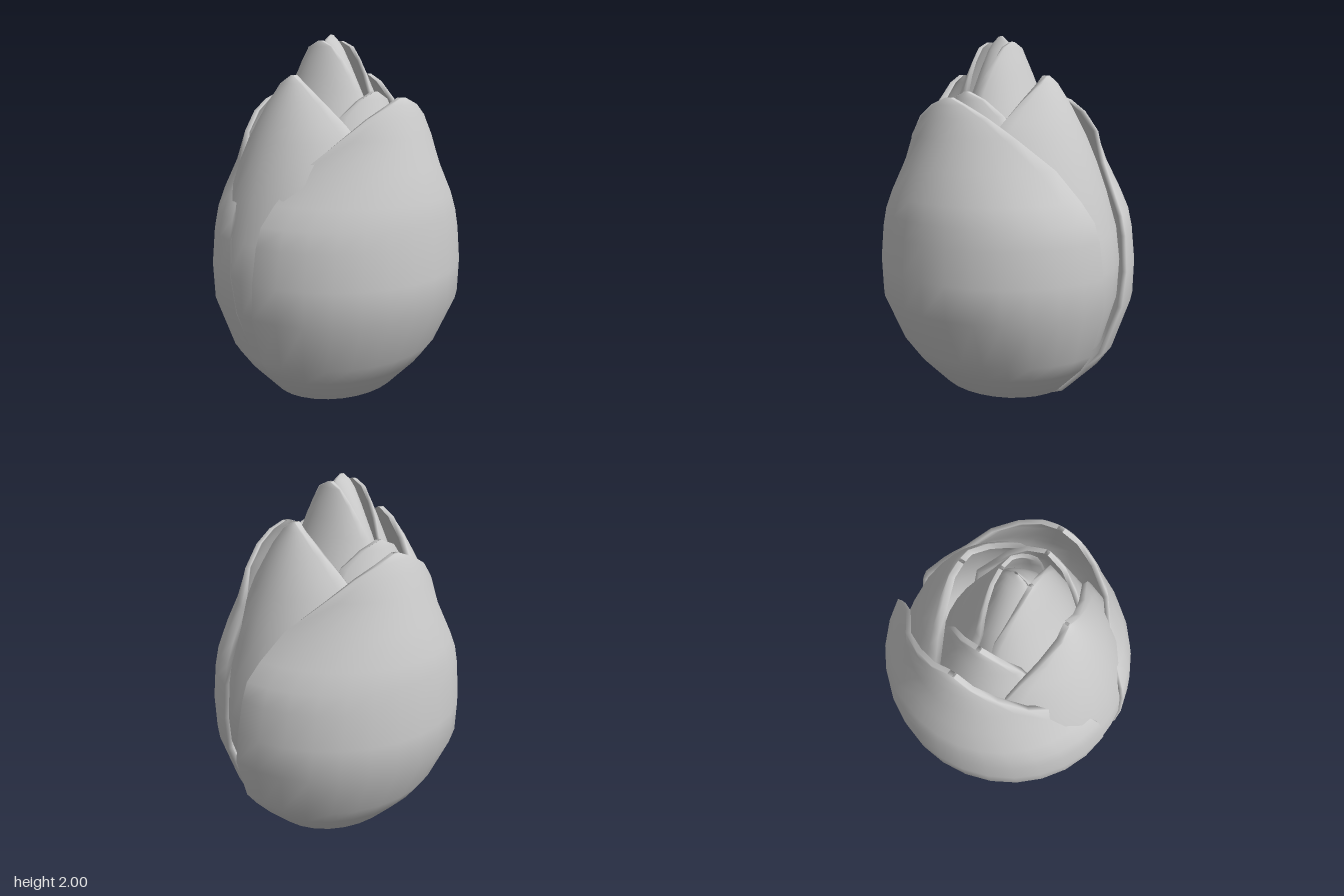
import * as THREE from 'three';

// Rows: [height, depth from the axis, sideways radius, half angle in degrees]
const OUTER = [
  [0.005, 0.07, 0.05, 85], [0.035, 0.16, 0.19, 85], [0.12, 0.33, 0.38, 85], [0.28, 0.48, 0.535, 85],
  [0.38, 0.55, 0.605, 84], [0.64, 0.67, 0.685, 83], [0.82, 0.675, 0.69, 82], [1.0, 0.662, 0.67, 81],
  [1.1, 0.65, 0.645, 80], [1.2, 0.635, 0.59, 77], [1.35, 0.585, 0.505, 69], [1.5, 0.535, 0.46, 49],
  [1.6, 0.50, 0.41, 33], [1.66, 0.475, 0.38, 17], [1.695, 0.455, 0.36, 3],
];
const SIDE = [
  [0.03, 0.13, 0.10, 60], [0.12, 0.36, 0.28, 60], [0.28, 0.51, 0.42, 62], [0.38, 0.58, 0.50, 64],
  [0.64, 0.655, 0.58, 66], [0.82, 0.66, 0.60, 68], [1.0, 0.635, 0.585, 70], [1.2, 0.575, 0.53, 72],
  [1.35, 0.525, 0.465, 70], [1.48, 0.47, 0.41, 65], [1.57, 0.43, 0.35, 58], [1.67, 0.38, 0.28, 45],
  [1.76, 0.325, 0.21, 23], [1.8, 0.295, 0.18, 3],
];
const INNER = [
  [0.1, 0.12, 0.12, 60], [0.4, 0.44, 0.42, 62], [0.8, 0.56, 0.5, 64], [1.2, 0.5, 0.44, 62],
  [1.5, 0.385, 0.31, 55], [1.6, 0.345, 0.28, 46], [1.68, 0.315, 0.25, 26], [1.72, 0.3, 0.23, 3],
];
const HEART = [
  [0.15, 0.1, 0.1, 80], [0.5, 0.36, 0.36, 80], [0.9, 0.44, 0.44, 80], [1.3, 0.36, 0.4, 80],
  [1.55, 0.255, 0.31, 80], [1.72, 0.185, 0.245, 79], [1.8, 0.155, 0.21, 70], [1.87, 0.127, 0.176, 58],
  [1.94, 0.098, 0.15, 34], [1.97, 0.085, 0.14, 4],
];
const CORE = [
  [1.2, 0.3, 0.28, 85], [1.5, 0.26, 0.2, 85], [1.7, 0.18, 0.14, 85], [1.85, 0.1, 0.1, 85],
  [1.93, 0.05, 0.075, 85], [1.97, 0.02, 0.05, 85], [2.0, 0.006, 0.012, 85],
];

// Curved petal shell with an outer and an inner skin, facing +z
function petalGeometry(rows, thickness, segments = 14) {
  const pos = [], index = [], ring = 2 * (segments + 1);
  for (const [y, depth, wide, degrees] of rows) {
    const half = THREE.MathUtils.degToRad(degrees);
    const lift = thickness * Math.max(0, 1 - y / 0.4);
    for (let i = 0; i < ring; i++) {
      const inner = i > segments;
      const k = inner ? ring - 1 - i : i;
      const a = half * (2 * k / segments - 1);
      const t = inner ? thickness : 0;
      pos.push(
        Math.max(wide - t, wide * 0.5) * Math.sin(a),
        y + (inner ? lift : 0),
        Math.max(depth - t, depth * 0.5) * Math.cos(a));
    }
  }
  for (let j = 0; j < rows.length - 1; j++) {
    for (let i = 0; i < ring; i++) {
      const n = (i + 1) % ring, a = j * ring, b = a + ring;
      index.push(a + i, a + n, b + n, a + i, b + n, b + i);
    }
  }
  // Close the base and the tip between the two skins
  const top = (rows.length - 1) * ring;
  for (let i = 0; i < segments; i++) {
    const o = ring - 1 - i;
    index.push(i, o, o - 1, i, o - 1, i + 1);
    index.push(top + i, top + i + 1, top + o - 1, top + i, top + o - 1, top + o);
  }
  const geometry = new THREE.BufferGeometry();
  geometry.setAttribute('position', new THREE.Float32BufferAttribute(pos, 3));
  geometry.setIndex(index);
  geometry.computeVertexNormals();
  return geometry;
}

export function createModel() {
  const bud = new THREE.Group();
  bud.name = 'flowerBud';
  const material = new THREE.MeshStandardMaterial({ color: 0xcccccc, side: THREE.DoubleSide });

  const addPetal = (name, rows, thickness, turn, x) => {
    const petal = new THREE.Mesh(petalGeometry(rows, thickness), material);
    petal.name = name;
    petal.rotation.y = turn;
    petal.position.x = x;
    bud.add(petal);
  };

  // The back outer petal wraps a little further round near the base
  const wrapped = OUTER.map(([y, d, w, a]) => [y, d, w * 1.015, a + 10 * Math.max(0, 1 - y / 0.9)]);
  addPetal('outerPetalFront', OUTER, 0.025, 0, -0.025);
  addPetal('outerPetalBack', wrapped, 0.025, Math.PI, -0.005);

  // Nested pairs, each turned a quarter from the one around it
  const pairs = [
    ['sidePetal', SIDE, 0.03, Math.PI / 2, -0.042, ['Left', 'Right']],
    ['innerPetal', INNER, 0.025, 0, -0.045, ['Front', 'Back']],
    ['heartPetal', HEART, 0.02, Math.PI / 2, -0.055, ['Left', 'Right']],
    ['corePetal', CORE, 0.01, 0, -0.052, ['Front', 'Back']],
  ];
  for (const [name, rows, thickness, turn, x, ends] of pairs) {
    ends.forEach((end, i) => addPetal(name + end, rows, thickness, turn + i * Math.PI, x));
  }
  return bud;
}
